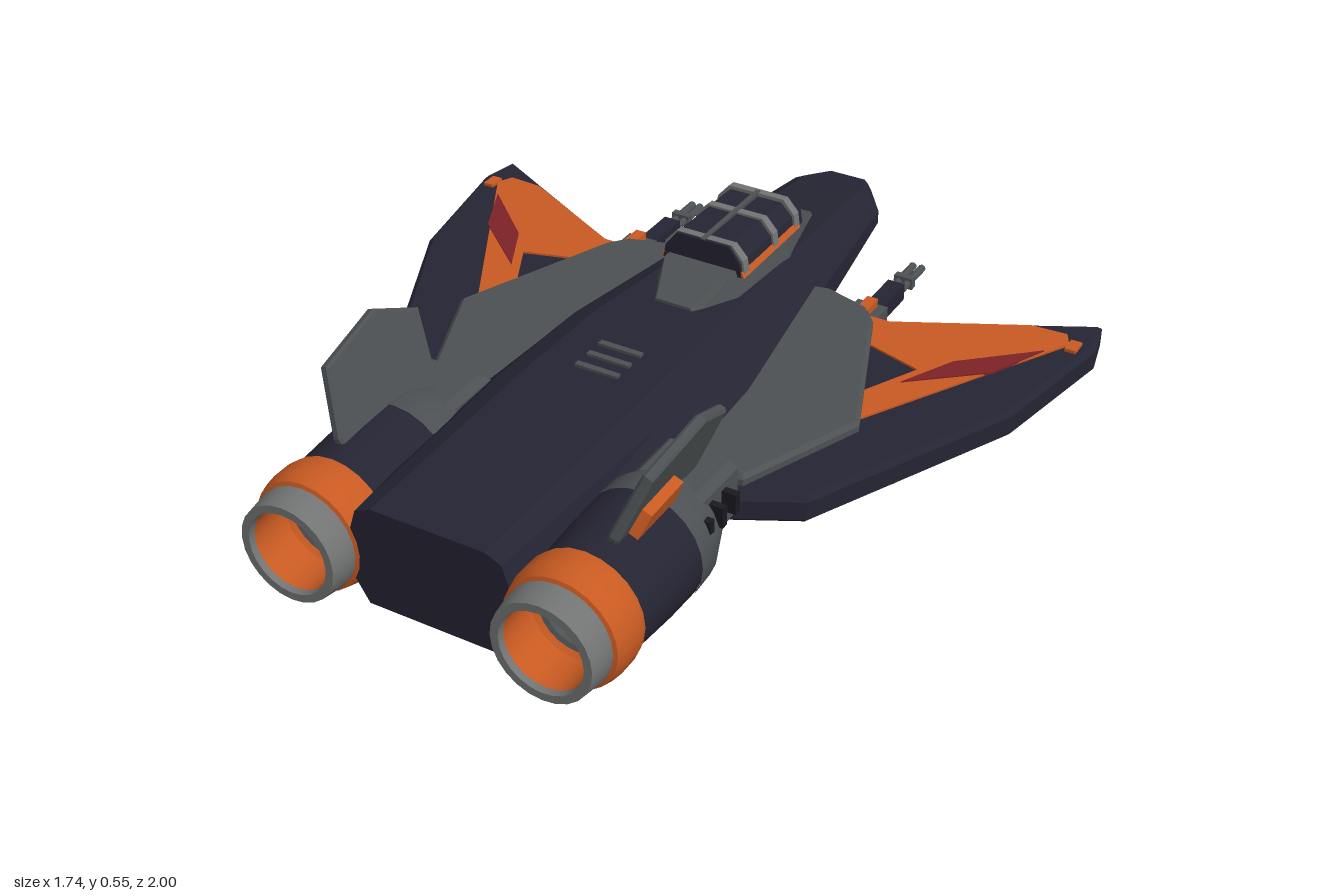
import * as THREE from 'three';
import { toCreasedNormals } from 'three/addons/utils/BufferGeometryUtils.js';

const material = (name, color) => {
  const m = new THREE.MeshStandardMaterial({ color });
  m.name = name;
  return m;
};

export function createModel() {
  const root = new THREE.Group();
  root.name = 'starfighter';
  const dark = material('dark navy', 0x252433);
  const gray = material('slate gray', 0x4c5052);
  const steel = material('light steel', 0x727474);
  const orange = material('orange', 0xc85a22);
  const red = material('dark red', 0x7c2226);
  const black = material('near black', 0x191920);

  const add = (name, geo, mat, parent = root) => {
    const m = new THREE.Mesh(geo, mat);
    m.name = name;
    parent.add(m);
    return m;
  };
  const box = (name, w, h, d, x, y, z, mat, parent) =>
    add(name, new THREE.BoxGeometry(w, h, d).translate(x, y, z), mat, parent);

  // Flat-faced loft: each section is [z, half outline from top to bottom]
  const loft = (name, sections, mats, pick = () => 0) => {
    const rings = sections.map(([z, half]) => [
      ...half.map(([x, y]) => [x, y, z]),
      ...[...half].reverse().map(([x, y]) => [-x, y, z]),
    ]);
    const n = rings[0].length;
    const lists = mats.map(() => []);
    for (let s = 0; s < rings.length - 1; s++) {
      for (let i = 0; i < n; i++) {
        const j = (i + 1) % n;
        const [a, b, c, d] = [rings[s][i], rings[s][j], rings[s + 1][j], rings[s + 1][i]];
        lists[pick(i, s)].push(a, d, c, a, c, b);
      }
    }
    const first = rings[0], last = rings[rings.length - 1];
    for (let i = 1; i < n - 1; i++) {
      lists[0].push(first[0], first[i], first[i + 1], last[0], last[i + 1], last[i]);
    }
    const geo = new THREE.BufferGeometry();
    geo.setAttribute('position', new THREE.Float32BufferAttribute(lists.flat(2), 3));
    let start = 0;
    lists.forEach((l, k) => {
      geo.addGroup(start, l.length, k);
      start += l.length;
    });
    geo.computeVertexNormals();
    return add(name, geo, mats);
  };

  // Horizontal plate from an [x, z] outline, with an optional bevel
  const slab = (name, pts, y0, y1, mat, bevel = 0, parent = root) => {
    const shape = new THREE.Shape(pts.map(([x, z]) => new THREE.Vector2(x, -z)));
    const geo = new THREE.ExtrudeGeometry(shape, {
      depth: y1 - y0 - 2 * bevel, bevelEnabled: bevel > 0, bevelThickness: bevel,
      bevelSize: bevel, bevelOffset: -bevel, bevelSegments: 1,
    });
    geo.rotateX(-Math.PI / 2).translate(0, y0 + bevel, 0);
    return add(name, geo, mat, parent);
  };

  // Round part turned about the z axis, from [radius, z] points
  const turned = (name, pts, mat, x, y, parent) => {
    const geo = new THREE.LatheGeometry(pts.map(([r, z]) => new THREE.Vector2(r, z)), 24);
    return add(name, toCreasedNormals(geo.rotateX(Math.PI / 2), 0.5).translate(x, y, 0), mat, parent);
  };

  const rod = (name, from, to, r, mat, parent, sides = 8) => {
    const a = new THREE.Vector3(...from), b = new THREE.Vector3(...to);
    const dir = b.clone().sub(a);
    const geo = new THREE.CylinderGeometry(r, r, dir.length(), sides);
    const m = add(name, toCreasedNormals(geo, 0.5), mat, parent);
    m.position.copy(a).add(b).multiplyScalar(0.5);
    m.quaternion.setFromUnitVectors(new THREE.Vector3(0, 1, 0), dir.normalize());
    return m;
  };

  // Fuselage: dark upper hull, gray lower chamfer and belly
  const hull = (z, wt, yt, ws, ys, w, yu, yl, wb, yb) =>
    [z, [[wt, yt], [ws, ys], [w, yu], [w, yl], [wb, yb]]];
  loft('fuselage', [
    hull(-1, 0.05, 0.28, 0.06, 0.27, 0.07, 0.255, 0.225, 0.05, 0.2),
    hull(-0.91, 0.08, 0.3, 0.11, 0.285, 0.135, 0.25, 0.215, 0.09, 0.178),
    hull(-0.4, 0.11, 0.345, 0.15, 0.325, 0.205, 0.265, 0.19, 0.15, 0.122),
    hull(0.05, 0.14, 0.372, 0.2, 0.345, 0.27, 0.27, 0.18, 0.2, 0.112),
    hull(0.35, 0.145, 0.372, 0.205, 0.345, 0.283, 0.27, 0.18, 0.2, 0.108),
    hull(0.93, 0.14, 0.36, 0.18, 0.342, 0.203, 0.27, 0.18, 0.16, 0.11),
  ], [dark, gray], (i, s) => (s > 0 && i >= 3 && i <= 5 ? 1 : 0));
  slab('bellyPlate', [[-0.08, -0.4], [0.08, -0.4], [0.16, -0.1], [0.17, 0.6], [0.1, 0.88],
    [-0.1, 0.88], [-0.17, 0.6], [-0.16, -0.1]], 0.1, 0.125, dark, 0.004);
  for (const z of [0.175, 0.225, 0.275]) box('backVent', 0.11, 0.012, 0.016, 0, 0.373, z, gray);

  // Cockpit: gray fairing, dark glass, steel frames
  const fairing = (z, wt, yt, wb, yb) => [z, [[wt, yt], [wb, yb]]];
  loft('cockpitFairing', [
    fairing(-0.69, 0.045, 0.328, 0.055, 0.3), fairing(-0.51, 0.075, 0.405, 0.1, 0.31),
    fairing(-0.44, 0.09, 0.415, 0.118, 0.32), fairing(-0.18, 0.09, 0.415, 0.115, 0.34),
    fairing(-0.06, 0.045, 0.373, 0.06, 0.35),
  ], [gray]);
  loft('windscreenPanel', [
    fairing(-0.6, 0.043, 0.373, 0.046, 0.365), fairing(-0.5, 0.07, 0.416, 0.074, 0.4),
  ], [dark]);
  loft('canopyTrim', [
    fairing(-0.49, 0.107, 0.414, 0.113, 0.4), fairing(-0.2, 0.107, 0.414, 0.113, 0.4),
  ], [orange]);
  const glass = (z, top, g = 0) =>
    [z, [[0.07 + g, top + g], [0.1 + g, 0.435 + g], [0.106 + g, 0.4]]];
  loft('canopyGlass', [glass(-0.515, 0.437), glass(-0.47, 0.466), glass(-0.2, 0.474)], [dark]);
  for (const z of [-0.48, -0.37, -0.22]) {
    loft('canopyFrame', [glass(z - 0.012, 0.468, 0.005), glass(z + 0.012, 0.47, 0.005)], [steel]);
  }
  box('canopySpine', 0.012, 0.012, 0.28, 0, 0.471, -0.34, gray);

  for (const s of [1, -1]) {
    const side = new THREE.Group();
    side.name = s > 0 ? 'leftSide' : 'rightSide';
    root.add(side);
    const m = (pts) => pts.map(([x, z]) => [s * x, z]);

    // Wing with painted panels
    slab('wing', m([[0.15, -0.42], [0.35, -0.4], [0.845, -0.66], [0.868, -0.555], [0.8, -0.2],
      [0.55, 0.32], [0.4, 0.4], [0.2, 0.4]]), 0.185, 0.255, dark, 0.012, side);
    slab('wingPaint', m([[0.34, -0.41], [0.4, -0.41], [0.7, -0.565], [0.79, -0.57], [0.81, -0.53],
      [0.515, 0], [0.47, -0.1], [0.545, -0.25], [0.38, -0.3]]), 0.252, 0.26, orange, 0, side);
    slab('wingMarking', m([[0.77, -0.47], [0.7, -0.32], [0.535, -0.18], [0.605, -0.32]]),
      0.257, 0.263, red, 0, side);
    box('wingTipLight', 0.028, 0.014, 0.045, s * 0.822, 0.256, -0.525, orange, side);
    slab('wingRootPanel', m([[0.15, -0.44], [0.22, -0.455], [0.335, -0.42], [0.375, -0.37],
      [0.535, 0.04], [0.41, 0.35], [0.2, 0.38]]), 0.24, 0.28, gray, 0.01, side);

    // Pod under the wing, with a row of tubes at its front
    slab('wingPod', m([[0.495, -0.25], [0.6, -0.25], [0.62, -0.22], [0.62, 0.01], [0.605, 0.03],
      [0.49, 0.03], [0.475, 0.01], [0.475, -0.22]]), 0.115, 0.178, gray, 0.012, side);
    box('podMount', 0.09, 0.02, 0.18, s * 0.548, 0.18, -0.11, gray, side);
    for (const x of [0.51, 0.535, 0.56, 0.585]) {
      rod('podTube', [s * x, 0.147, -0.262], [s * x, 0.147, -0.24], 0.009, steel, side);
    }

    // Twin-barrel gun ahead of the wing root
    box('gunMount', 0.08, 0.07, 0.1, s * 0.325, 0.22, -0.425, gray, side);
    box('gunClip', 0.028, 0.025, 0.065, s * 0.327, 0.263, -0.435, orange, side);
    box('gunBody', 0.045, 0.045, 0.15, s * 0.322, 0.217, -0.545, dark, side);
    for (const dx of [-0.012, 0.012]) {
      rod('gunBarrel', [s * 0.322 + dx, 0.217, -0.59], [s * 0.322 + dx, 0.217, -0.75], 0.01, gray, side);
    }
    box('barrelClamp', 0.05, 0.03, 0.02, s * 0.322, 0.217, -0.67, gray, side);

    // Engine: collar, casing, band, and hollow glowing nozzle
    const ex = s * 0.312, ey = 0.225;
    turned('engineCollar', [[0, 0.38], [0.075, 0.38], [0.11, 0.46], [0.142, 0.54], [0.145, 0.61]], gray, ex, ey, side);
    turned('engineCasing', [[0.143, 0.6], [0.141, 0.7], [0.132, 0.84]], dark, ex, ey, side);
    turned('engineBand', [[0.125, 0.825], [0.138, 0.83], [0.143, 0.85], [0.143, 0.9], [0.135, 0.93], [0.12, 0.935]], orange, ex, ey, side);
    turned('nozzle', [[0.126, 0.93], [0.126, 0.95], [0.119, 1], [0.1, 1], [0.097, 0.985]], steel, ex, ey, side);
    turned('nozzleLining', [[0.097, 0.985], [0.1, 0.88], [0.09, 0.87]], orange, ex, ey, side);
    turned('nozzleRing', [[0.09, 0.87], [0.08, 0.865], [0.08, 0.85]], gray, ex, ey, side);
    turned('engineGlow', [[0.08, 0.85], [0.08, 0.62], [0, 0.62]], orange, ex, ey, side);

    // Housing and vents beside the collar
    slab('engineHousing', m([[0.23, 0.36], [0.4, 0.36], [0.412, 0.38], [0.41, 0.52], [0.38, 0.61],
      [0.23, 0.61]]), 0.19, 0.34, gray, 0.018, side);
    for (const z of [0.44, 0.495, 0.55]) box('sideVent', 0.05, 0.05, 0.018, s * 0.42, 0.28, z, black, side);

    // Canted tail fin with its orange pod
    const fin = new THREE.Group();
    fin.name = 'tailFin';
    fin.position.set(s * 0.335, 0.35, 0);
    fin.rotation.z = -s * 0.37;
    side.add(fin);
    const outline = [[0.44, -0.03], [0.77, -0.02], [0.775, 0.02], [0.73, 0.17], [0.54, 0.212], [0.41, 0.15]];
    const finGeo = new THREE.ExtrudeGeometry(new THREE.Shape(outline.map((p) => new THREE.Vector2(...p))), {
      depth: 0.014, bevelThickness: 0.006, bevelSize: 0.006, bevelOffset: -0.006, bevelSegments: 1,
    });
    add('finBlade', finGeo.translate(0, 0, -0.007).rotateY(-Math.PI / 2), gray, fin);
    const podShape = new THREE.Shape([[0.58, 0], [0.735, 0], [0.71, 0.07], [0.59, 0.082]]
      .map((p) => new THREE.Vector2(...p)));
    const podGeo = new THREE.ExtrudeGeometry(podShape, { depth: 0.03, bevelEnabled: false });
    add('finPod', podGeo.translate(0, 0, -0.015).rotateY(-Math.PI / 2).translate(s * 0.022, 0, 0), orange, fin);

    // Landing skid on two struts
    rod('skid', [s * 0.222, 0.019, -0.225], [s * 0.222, 0.019, 0.35], 0.019, gray, side);
    for (const z of [0.25, -0.15]) {
      rod('skidStrut', [s * 0.222, 0.025, z], [s * 0.18, 0.135, z + 0.045], 0.017, gray, side);
      box('skidClamp', 0.06, 0.03, 0.06, s * 0.222, 0.021, z, gray, side);
    }
  }
  return root;
}
